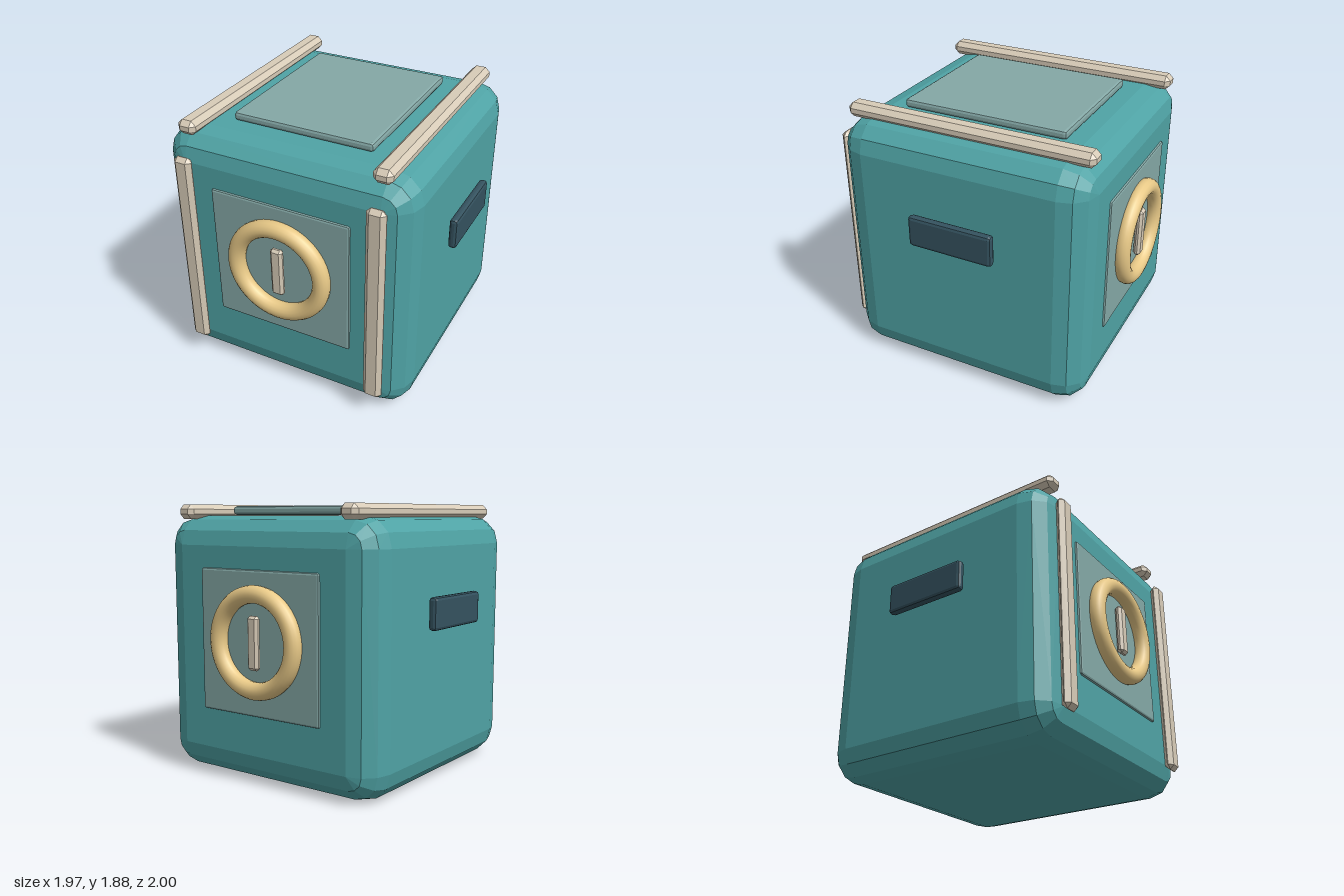
import * as THREE from 'three';
import { ConvexGeometry } from 'three/addons/geometries/ConvexGeometry.js';

const paint = (color) => new THREE.MeshStandardMaterial({ color, flatShading: true });

// Faceted rounded box: hull of eight sphere octants, `steps` facets per quarter turn
function softBox(w, h, d, r, steps) {
  const points = [];
  for (const sx of [-1, 1]) for (const sy of [-1, 1]) for (const sz of [-1, 1]) {
    for (let i = 0; i <= steps; i++) {
      const lat = (i / steps) * Math.PI / 2;
      const count = i === steps ? 0 : steps;
      for (let j = 0; j <= count; j++) {
        const lon = (j / steps) * Math.PI / 2;
        points.push(new THREE.Vector3(
          sx * (w / 2 - r + r * Math.cos(lat) * Math.cos(lon)),
          sy * (h / 2 - r + r * Math.cos(lat) * Math.sin(lon)),
          sz * (d / 2 - r + r * Math.sin(lat))));
      }
    }
  }
  return new ConvexGeometry(points);
}

export function createModel() {
  const model = new THREE.Group();
  model.name = 'crate';

  const teal = paint(0x4fa3a5);
  const paleTeal = paint(0x84a8a6);
  const cream = paint(0xd8ccb8);
  const navy = paint(0x34525f);
  const gold = new THREE.MeshStandardMaterial({ color: 0xe8c987 });

  const add = (parent, name, geometry, material, x, y, z) => {
    const mesh = new THREE.Mesh(geometry, material);
    mesh.name = name;
    mesh.position.set(x, y, z);
    parent.add(mesh);
    return mesh;
  };

  // Main body and lid panel
  add(model, 'body', softBox(1.8, 1.805, 1.8, 0.2, 3), teal, 0, 0.9025, 0);
  add(model, 'topPanel', softBox(1.01, 0.06, 1.18, 0.02, 2), paleTeal, 0, 1.84, 0);

  // Front and back emblems: panel, ring and central bar
  const panelGeometry = softBox(1.01, 0.98, 0.04, 0.015, 2);
  const ringGeometry = new THREE.TorusGeometry(0.32, 0.06, 16, 64);
  const markerGeometry = softBox(0.09, 0.36, 0.05, 0.018, 1);
  for (const side of ['front', 'back']) {
    const face = new THREE.Group();
    face.name = side + 'Face';
    face.rotation.y = side === 'front' ? 0 : Math.PI;
    add(face, 'panel', panelGeometry, paleTeal, 0, 0.965, 0.895);
    add(face, 'ring', ringGeometry, gold, 0, 0.98, 0.94);
    add(face, 'centreBar', markerGeometry, cream, 0, 0.98, 0.95);
    model.add(face);
  }

  // Roof rails, front rails and side handles, mirrored left and right
  const roofRail = softBox(0.135, 0.1, 1.765, 0.033, 1);
  const frontRail = softBox(0.135, 1.49, 0.066, 0.03, 1);
  const handle = softBox(0.06, 0.22, 0.61, 0.022, 2);
  for (const [side, s] of [['left', 1], ['right', -1]]) {
    add(model, side + 'RoofRail', roofRail, cream, s * 0.692, 1.832, 0);
    add(model, side + 'FrontRail', frontRail, cream, s * 0.692, 0.91, 0.932);
    add(model, side + 'Handle', handle, navy, s * 0.957, 1.175, 0);
  }

  return model;
}
